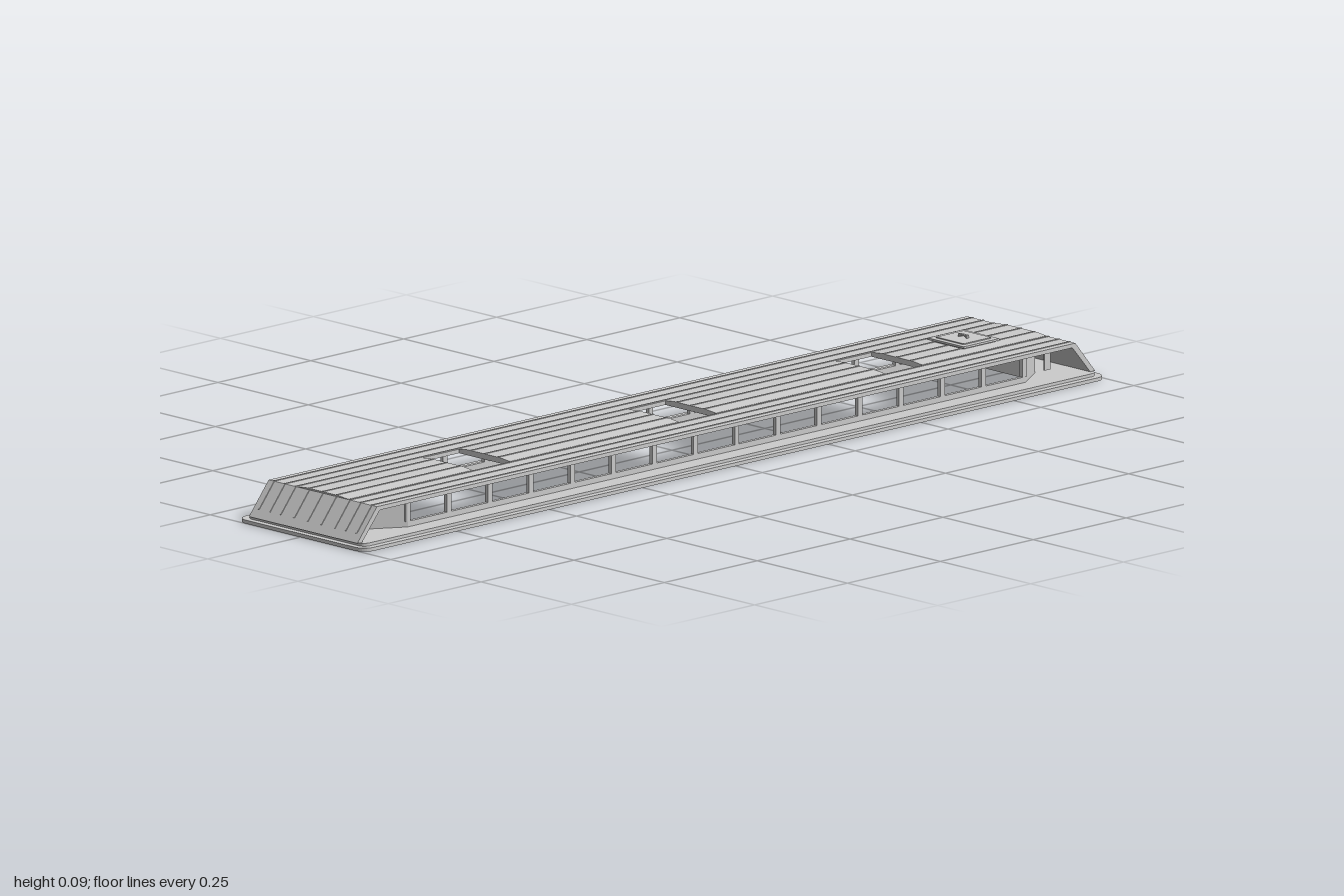
import * as THREE from 'three';

const WALL_X = 0.115, WALL_Z = 0.83, END_X = 0.075, END_Z = 0.89;
const ROOF_Y = 0.077, ROOF_Z = 0.94;
const SKYLIGHTS = [-0.555, 0, 0.555], SKY_X = 0.07, SKY_Z = 0.05;

export function createModel() {
  const group = new THREE.Group();
  const mat = new THREE.MeshStandardMaterial({ color: 0xcccccc, flatShading: true });

  const add = (name, geo, x = 0, y = 0, z = 0, parent = group) => {
    const mesh = new THREE.Mesh(geo, mat);
    mesh.name = name;
    mesh.position.set(x, y, z);
    parent.add(mesh);
    return mesh;
  };
  // box given by its lower and upper corners
  const box = (name, x0, x1, y0, y1, z0, z1) =>
    add(name, new THREE.BoxGeometry(x1 - x0, y1 - y0, z1 - z0), (x0 + x1) / 2, (y0 + y1) / 2, (z0 + z1) / 2);
  const polygon = (pts) => new THREE.Shape(pts.map(([x, y]) => new THREE.Vector2(x, y)));
  const extrude = (shape, depth) =>
    new THREE.ExtrudeGeometry(shape, { depth, bevelEnabled: false, curveSegments: 4 });

  // base plates: rounded rectangles around the eight-sided cabin opening
  const opening = [[WALL_X, WALL_Z], [END_X, END_Z], [-END_X, END_Z], [-WALL_X, WALL_Z],
    [-WALL_X, -WALL_Z], [-END_X, -END_Z], [END_X, -END_Z], [WALL_X, -WALL_Z]];
  const plate = (name, hx, hz, r, y0, y1) => {
    const s = new THREE.Shape();
    s.moveTo(-hx + r, -hz);
    s.lineTo(hx - r, -hz);
    s.absarc(hx - r, -hz + r, r, -Math.PI / 2, 0);
    s.lineTo(hx, hz - r);
    s.absarc(hx - r, hz - r, r, 0, Math.PI / 2);
    s.lineTo(-hx + r, hz);
    s.absarc(-hx + r, hz - r, r, Math.PI / 2, Math.PI);
    s.lineTo(-hx, -hz + r);
    s.absarc(-hx + r, -hz + r, r, Math.PI, Math.PI * 1.5);
    s.holes.push(polygon(opening));
    add(name, extrude(s, y1 - y0).rotateX(-Math.PI / 2), 0, y0, 0);
  };
  plate('basePlate', 0.177, 1, 0.025, 0, 0.007);
  plate('baseStep', 0.163, 0.987, 0.015, 0.007, 0.013);

  // inset cabin walls with a row of open windows on each side
  const COUNT = 15, pitch = (2 * WALL_Z) / COUNT, t = 0.008;
  for (const s of [-1, 1]) {
    const x0 = s > 0 ? WALL_X : -WALL_X - t, x1 = x0 + t;
    box('windowSill', x0, x1, 0.013, 0.024, -WALL_Z, WALL_Z);
    box('windowHeader', x0, x1, 0.067, 0.07, -WALL_Z, WALL_Z);
    for (let i = 0; i <= COUNT; i++) {
      const z = -WALL_Z + i * pitch;
      box('windowPost', x0, x1, 0.024, 0.067, z - 0.006, z + 0.006);
    }
    // small bracket hanging under the roof near the back
    box('bracket', s * 0.135 - 0.002, s * 0.135 + 0.002, 0.032, 0.069, -0.885, -0.87);
  }
  // angled and straight walls closing both ends of the cabin
  const wall = (name, [xa, za], [xb, zb]) => {
    const len = Math.hypot(xb - xa, zb - za);
    const m = add(name, new THREE.BoxGeometry(len + t / 2, 0.057, t), (xa + xb) / 2, 0.0415, (za + zb) / 2);
    m.rotation.y = -Math.atan2(zb - za, xb - xa);
  };
  for (const s of [-1, 1]) {
    for (const m of [-1, 1])
      wall('cornerWall', [m * (WALL_X + t / 2), s * WALL_Z], [m * (END_X + t / 2), s * (END_Z + t / 2)]);
    wall('endWall', [-END_X, s * (END_Z + t / 2)], [END_X, s * (END_Z + t / 2)]);
  }

  // roof: two flat side strips and a slightly raised middle broken by skylights
  for (const s of [-1, 1])
    box('roofSide', s > 0 ? SKY_X : -0.15, s > 0 ? 0.15 : -SKY_X, 0.069, ROOF_Y, -ROOF_Z, ROOF_Z);
  const middle = polygon([[-SKY_X, 0.069], [SKY_X, 0.069], [SKY_X, 0.0775], [0.045, 0.08], [-0.045, 0.08], [-SKY_X, 0.0775]]);
  const ends = [-ROOF_Z, ...SKYLIGHTS.flatMap((z) => [z - SKY_Z, z + SKY_Z]), ROOF_Z];
  const spans = [];
  for (let i = 0; i < ends.length; i += 2) spans.push([ends[i], ends[i + 1]]);
  for (const [a, b] of spans) add('roofMiddle', extrude(middle, b - a), 0, 0, a);

  // sloping end panels
  const slope = polygon([[0.993, 0.013], [ROOF_Z, ROOF_Y], [0.925, ROOF_Y], [0.925, 0.069], [0.932, 0.069], [0.98, 0.013]]);
  for (const s of [-1, 1]) {
    const panel = add('endPanel', extrude(slope, 0.3).translate(0, 0, -0.15));
    panel.rotation.y = -s * Math.PI / 2;
  }

  // thin ribs running along the roof and down both slopes
  const tilt = Math.atan2(0.064, 0.053), slopeLen = 0.064;
  for (const x of [-0.135, -0.105, -0.075, -0.0375, 0, 0.0375, 0.075, 0.105, 0.135]) {
    const inner = Math.abs(x) < 0.07, y = inner ? 0.08 : ROOF_Y;
    for (const [a, b] of inner ? spans : [[-ROOF_Z, ROOF_Z]])
      box('roofRib', x - 0.0015, x + 0.0015, y - 0.001, y + 0.0012, a, b);
    for (const s of [-1, 1]) {
      const rib = add('slopeRib', new THREE.BoxGeometry(0.003, 0.0025, slopeLen), x, 0.0525, s * 0.9605);
      rib.rotation.x = s * tilt;
    }
  }

  // roof hatch: plinth, lid and small handle
  const HZ = -0.785;
  box('hatchPlinth', -0.043, 0.043, 0.077, 0.083, HZ - 0.042, HZ + 0.042);
  box('hatchLid', -0.05, 0.05, 0.083, 0.087, HZ - 0.048, HZ + 0.048);
  box('hatchPanel', -0.038, 0.038, 0.087, 0.089, HZ - 0.037, HZ + 0.037);
  box('hatchHandle', -0.012, 0.012, 0.092, 0.095, HZ - 0.003, HZ + 0.003);
  for (const s of [-1, 1])
    box('handlePost', s * 0.01 - 0.002, s * 0.01 + 0.002, 0.089, 0.092, HZ - 0.003, HZ + 0.003);

  return group;
}
